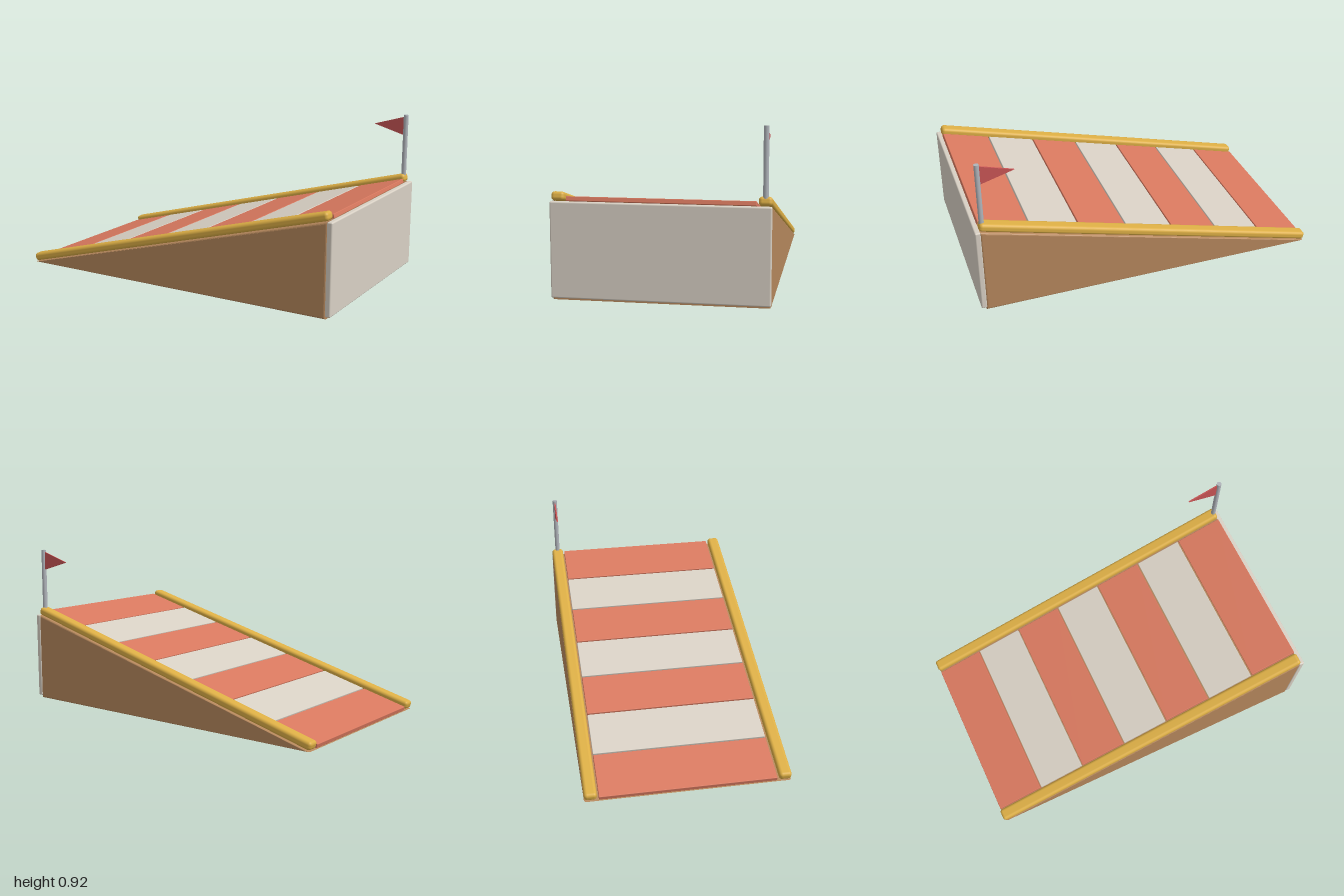
import * as THREE from 'three';
import { RoundedBoxGeometry } from 'three/addons/geometries/RoundedBoxGeometry.js';

const ANGLE = Math.atan2(0.522, 1.966);
const SLOPE = Math.hypot(0.522, 1.966);

const material = (color) => new THREE.MeshStandardMaterial({ color });

function add(parent, name, geometry, mat, x = 0, y = 0, z = 0) {
  const mesh = new THREE.Mesh(geometry, mat);
  mesh.name = name;
  mesh.position.set(x, y, z);
  parent.add(mesh);
  return mesh;
}

// Extrudes a polygon along z, centred on z = 0, keeping its outline at full size
function slab(points, depth, bevel) {
  const shape = new THREE.Shape(points.map(([x, y]) => new THREE.Vector2(x, y)));
  const geometry = new THREE.ExtrudeGeometry(shape, {
    depth: depth - 2 * bevel,
    bevelEnabled: bevel > 0,
    bevelSize: bevel,
    bevelThickness: bevel,
    bevelOffset: -bevel,
    bevelSegments: 3,
  });
  return geometry.translate(0, 0, bevel - depth / 2);
}

export function createModel() {
  const model = new THREE.Group();
  model.name = 'ramp';

  const wood = material(0xb5875c);
  const yellow = material(0xdcae45);
  const red = material(0xd9795f);
  const cream = material(0xd8d0c4);
  const metal = material(0xb0b4ba);
  const flagRed = material(0xc85555);

  // Wedge body
  add(model, 'wedgeBody', slab([[-0.988, 0], [0.972, 0], [0.972, 0.52]], 1.14, 0.012), wood);

  // Upright panel closing the tall end
  add(model, 'endPanel', new RoundedBoxGeometry(0.032, 0.506, 1.14, 3, 0.008), cream, 0.984, 0.267, 0);

  // Sloping deck: local x runs up the slope, local y points out of it
  const deck = new THREE.Group();
  deck.name = 'deck';
  deck.position.set(-0.988, 0.003, 0);
  deck.rotation.z = ANGLE;
  model.add(deck);

  // Alternating planks
  const pitch = SLOPE / 7;
  const plank = new RoundedBoxGeometry(pitch - 0.008, 0.024, 0.98, 2, 0.003);
  for (let i = 0; i < 7; i++) {
    add(deck, 'plank' + (i + 1), plank, i % 2 ? cream : red, (i + 0.5) * pitch, 0.01, 0);
  }

  // Rounded side rails
  const rail = new RoundedBoxGeometry(SLOPE, 0.047, 0.07, 4, 0.018);
  for (const side of [-1, 1]) {
    add(deck, side > 0 ? 'frontRail' : 'backRail', rail, yellow, SLOPE / 2, 0.0235, side * 0.535);
  }

  // Flag pole and pennant
  const flag = new THREE.Group();
  flag.name = 'flag';
  flag.position.set(0.955, 0, -0.535);
  model.add(flag);
  add(flag, 'flagPole', new THREE.CylinderGeometry(0.014, 0.014, 0.39, 20), metal, 0, 0.725, 0);
  add(flag, 'pennant', slab([[-0.01, 0.908], [-0.195, 0.854], [-0.01, 0.8]], 0.008, 0), flagRed);

  return model;
}
